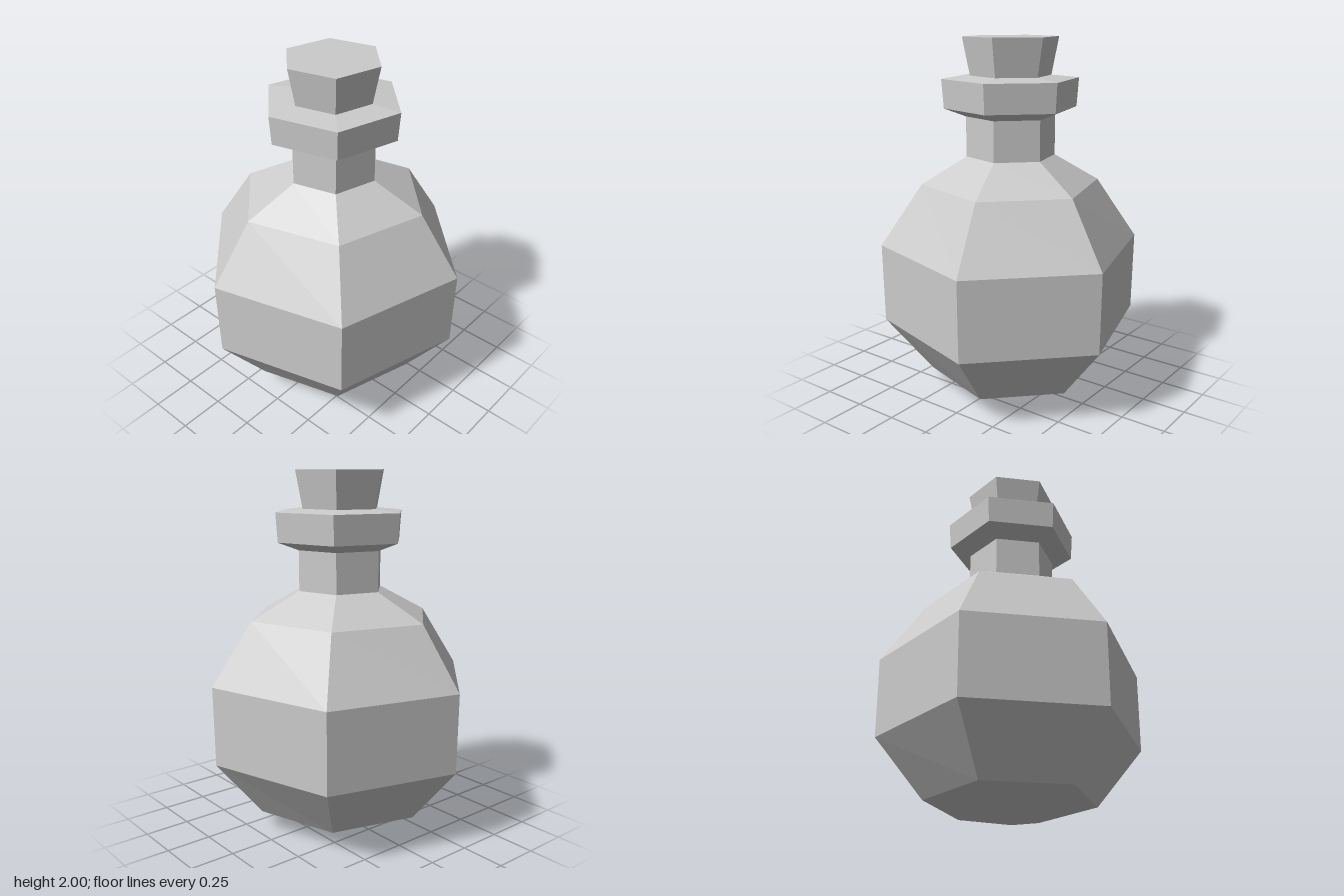
import * as THREE from 'three';

const material = new THREE.MeshStandardMaterial({ color: 0xcccccc, flatShading: true });

// Six-sided turned part; each ring is [radius, height, stretch along the x = z diagonal]
function turnedPart(name, rings) {
  const points = rings.map(([r, y]) => new THREE.Vector2(r, y));
  const geometry = new THREE.LatheGeometry(points, 6, -Math.PI / 4);
  const pos = geometry.attributes.position;
  for (let i = 0; i < pos.count; i++) {
    const stretch = rings[i % rings.length][2] ?? 1;
    const shift = ((pos.getX(i) + pos.getZ(i)) / 2) * (stretch - 1);
    pos.setX(i, pos.getX(i) + shift);
    pos.setZ(i, pos.getZ(i) + shift);
  }
  geometry.computeVertexNormals();
  const mesh = new THREE.Mesh(geometry, material);
  mesh.name = name;
  return mesh;
}

export function createModel() {
  const bottle = new THREE.Group();
  bottle.name = 'bottle';

  // Faceted belly, pointed underneath, rising into the neck
  bottle.add(turnedPart('body', [
    [0, 0],
    [0.46, 0.11, 1.066],
    [0.721, 0.43, 1.035],
    [0.727, 0.87, 1.035],
    [0.495, 1.21, 1.066],
    [0.246, 1.358],
  ]));
  bottle.add(turnedPart('neck', [[0.246, 1.358], [0.246, 1.578]]));

  // Flared collar around the mouth
  bottle.add(turnedPart('lip', [
    [0.246, 1.578],
    [0.365, 1.623],
    [0.376, 1.78],
    [0.222, 1.796],
  ]));

  // Tapered stopper
  bottle.add(turnedPart('cork', [[0.222, 1.796], [0.262, 2], [0, 2]]));

  return bottle;
}
